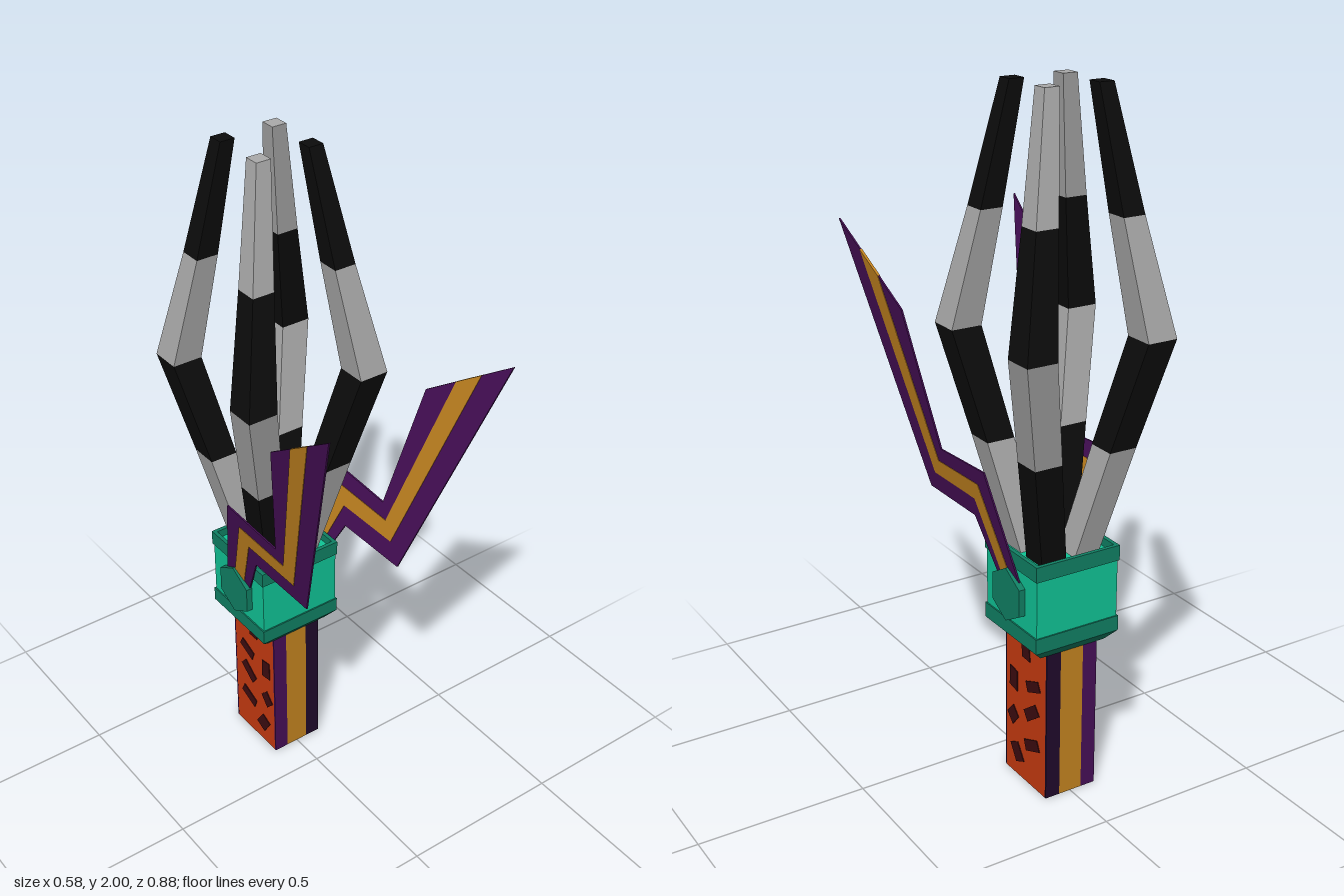
import * as THREE from 'three';

const mat = (name, color) => {
  const m = new THREE.MeshStandardMaterial({ color });
  m.name = name;
  return m;
};

export function createModel() {
  const red = mat('red', 0xc83a10), maroon = mat('maroon', 0x3c0c10);
  const purple = mat('purple', 0x470f57), darkPurple = mat('dark purple', 0x200a2c);
  const gold = mat('gold', 0xc48420);
  const green = mat('green', 0x10c496), darkGreen = mat('dark green', 0x108064);
  const black = mat('black', 0x0c0c0c), grey = mat('grey', 0xaaaaaa);

  const root = new THREE.Group();
  const CZ = -0.213; // the shaft axis lies behind the origin

  const add = (name, geo, material, parent = root) => {
    const mesh = new THREE.Mesh(geo, material);
    mesh.name = name;
    parent.add(mesh);
    return mesh;
  };
  const box = (name, material, w, h, d, x, y, z, parent) =>
    add(name, new THREE.BoxGeometry(w, h, d).translate(x, y, z), material, parent);

  // Four-sided block between two rectangles [x, z, halfX, halfZ] at heights y0 and y1
  const loft = (y0, a, y1, b) => {
    const geo = new THREE.BoxGeometry(2, 2, 2), p = geo.attributes.position;
    for (let i = 0; i < p.count; i++) {
      const top = p.getY(i) > 0, s = top ? b : a;
      p.setXYZ(i, s[0] + p.getX(i) * s[2], top ? y1 : y0, s[1] + p.getZ(i) * s[3]);
    }
    geo.computeVertexNormals();
    return geo;
  };

  // Plate drawn in [z, y], facing out to one side, leaning outwards by lean per unit of height
  const sidePlate = (points, side, x, depth, lean = 0, y0 = 0) => {
    const shape = new THREE.Shape(points.map(([z, y]) => new THREE.Vector2(-side * z, y)));
    const geo = new THREE.ExtrudeGeometry(shape, { depth, bevelEnabled: false });
    geo.rotateY(side * Math.PI / 2).translate(side * x, 0, 0);
    const p = geo.attributes.position;
    for (let i = 0; i < p.count; i++) p.setX(i, p.getX(i) + side * lean * (p.getY(i) - y0));
    geo.computeVertexNormals();
    return geo;
  };

  // Handle with striped front and back
  const handle = new THREE.Group();
  handle.name = 'handle';
  root.add(handle);
  box('handleCore', red, 0.165, 0.47, 0.206, 0, 0.235, CZ, handle);
  for (const s of [1, -1]) {
    const z = CZ + s * 0.1035;
    box('leftStripe', darkPurple, 0.046, 0.47, 0.005, 0.0597, 0.235, z, handle);
    box('middleStripe', gold, 0.0734, 0.47, 0.005, 0, 0.235, z, handle);
    box('rightStripe', purple, 0.046, 0.47, 0.005, -0.0597, 0.235, z, handle);
  }

  // Chips on the handle sides: z, y, width, height, turn
  const chips = [
    [-0.213, 0.425, 0.04, 0.055, -0.1], [-0.15, 0.31, 0.04, 0.07, 0],
    [-0.25, 0.328, 0.07, 0.036, -0.45], [-0.243, 0.24, 0.075, 0.04, -0.7],
    [-0.147, 0.19, 0.042, 0.052, 0.7], [-0.245, 0.135, 0.075, 0.038, -0.45],
    [-0.169, 0.075, 0.044, 0.066, -0.6],
  ];
  for (const side of [1, -1]) {
    for (const [z, y, w, h, t] of chips) {
      const corners = [[-0.5, -0.5], [0.5, -0.4], [0.45, 0.5], [-0.5, 0.4]].map(([u, v]) => [
        z + u * w * Math.cos(t) - v * h * Math.sin(t),
        y + u * w * Math.sin(t) + v * h * Math.cos(t)]);
      add('chip', sidePlate(corners, side, 0.081, 0.004), maroon, handle);
    }
  }

  // Collar: tapered foot, lower band, body and an open upper rim
  const collar = new THREE.Group();
  collar.name = 'collar';
  root.add(collar);
  add('collarFoot', loft(0.46, [0, CZ, 0.105, 0.108], 0.49, [0, CZ, 0.135, 0.132]), darkGreen, collar);
  box('lowerBand', darkGreen, 0.27, 0.045, 0.264, 0, 0.5125, CZ, collar);
  box('collarBody', green, 0.262, 0.19, 0.256, 0, 0.63, CZ, collar);
  for (const s of [1, -1]) {
    box('rimSide', darkGreen, 0.012, 0.045, 0.264, s * 0.129, 0.7275, CZ, collar);
    box('rimEnd', darkGreen, 0.246, 0.045, 0.012, 0, 0.7275, CZ + s * 0.126, collar);
  }

  // Four bent prongs with alternating bands; opposite prongs match
  const heights = [0.71, 1.04, 1.35, 1.67, 2];
  const offsets = [0.05, 0.117, 0.183, 0.13, 0.08];
  const halves = [0.039, 0.042, 0.045, 0.033, 0.022];
  for (const sx of [1, -1]) for (const sz of [1, -1]) {
    const prong = new THREE.Group();
    prong.name = 'prong';
    root.add(prong);
    const section = i => [sx * offsets[i], CZ + sz * offsets[i], halves[i], halves[i]];
    for (let i = 0; i < 4; i++) {
      const isGrey = (i % 2 === 0) === (sx === sz);
      add('prongBand', loft(heights[i], section(i), heights[i + 1], section(i + 1)),
        isGrey ? grey : black, prong);
    }
  }

  // Zigzag blades with a gold stripe, held by hexagonal bosses
  const blade = [[0.443, 1.55], [0.151, 1.353], [0.066, 0.96], [-0.167, 0.972], [-0.262, 0.67],
    [-0.16, 0.635], [-0.072, 0.806], [0.172, 0.806]];
  const stripe = [[0.342, 1.482], [0.257, 1.425], [0.092, 0.915], [-0.122, 0.92], [-0.226, 0.658],
    [-0.183, 0.643], [-0.09, 0.865], [0.128, 0.865]];
  const hexagon = Array.from({ length: 6 }, (_, i) => {
    const a = Math.PI / 2 + i * Math.PI / 3;
    return [CZ + 0.08 * Math.cos(a), 0.62 + 0.08 * Math.sin(a)];
  });
  for (const side of [1, -1]) {
    const wing = new THREE.Group();
    wing.name = side > 0 ? 'leftBlade' : 'rightBlade';
    root.add(wing);
    add('bladeEdge', sidePlate(blade, side, 0.138, 0.005, 0.174, 0.7), purple, wing);
    add('bladeStripe', sidePlate(stripe, side, 0.1365, 0.008, 0.174, 0.7), gold, wing);
    add('boss', sidePlate(hexagon, side, 0.125, 0.025), darkGreen, wing);
  }

  return root;
}
